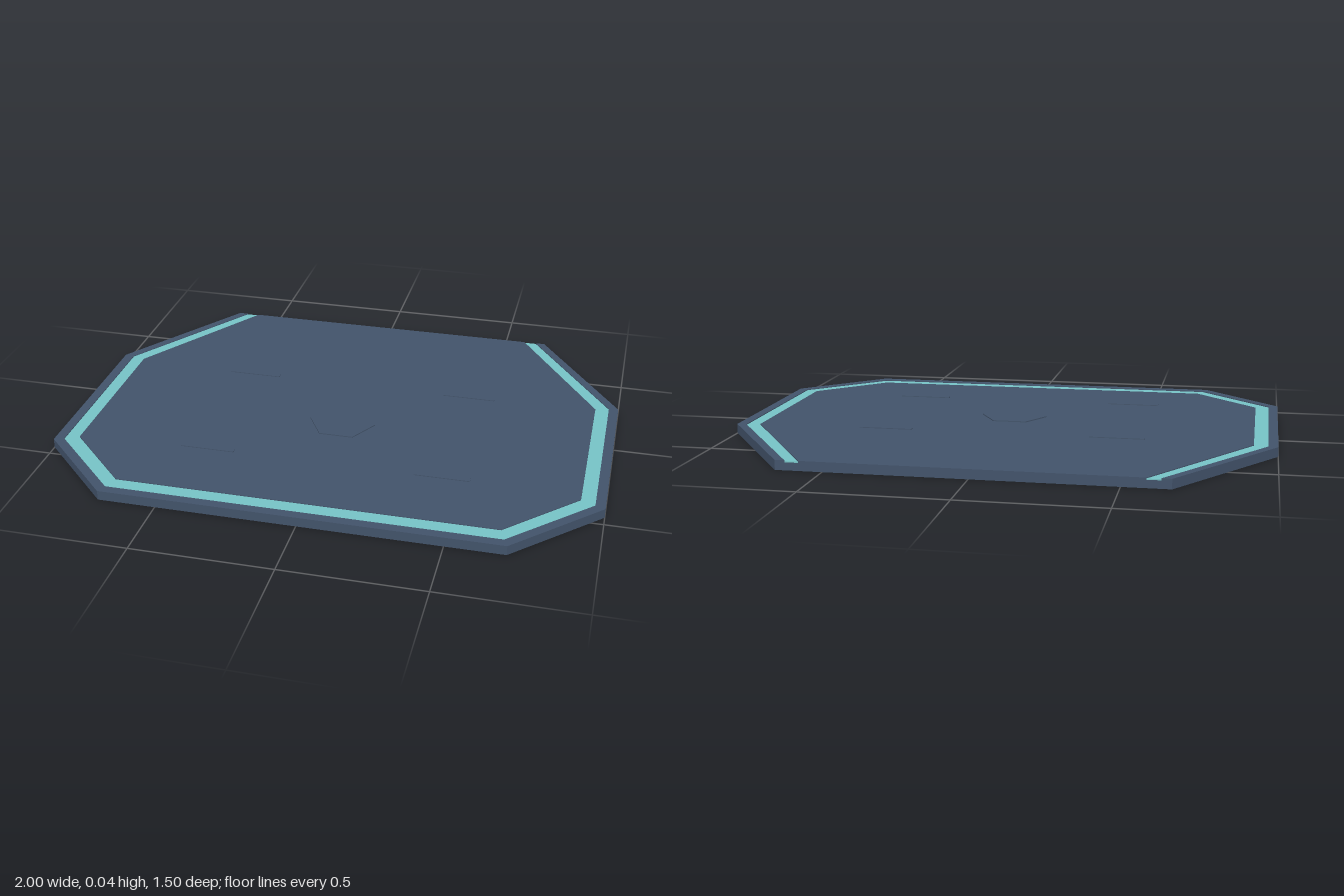
import * as THREE from 'three';

const TOP = 0.035;      // height of the deck surface
const GROOVE = 0.032;   // height of the inlaid strip

const mirror = (pts) => [...pts, ...pts.slice().reverse().map(([x, z]) => [-x, z])];

// +x half outlines (x, z), running from the back edge round to the front edge
const OUTER = [[0.665, -0.75], [1, -0.25], [1, 0.457], [0.707, 0.75]];
const STRIP_OUT = [[0.63, -0.75], [0.965, -0.247], [0.965, 0.443], [0.692, 0.715]];
const STRIP_IN = [[0.582, -0.75], [0.915, -0.232], [0.915, 0.417], [0.675, 0.66]];

// Flat plate with the given outline, between two heights
function plate(outline, y0, y1) {
  const shape = new THREE.Shape(outline.map(([x, z]) => new THREE.Vector2(x, -z)));
  const geo = new THREE.ExtrudeGeometry(shape, { depth: y1 - y0, bevelEnabled: false });
  return geo.rotateX(-Math.PI / 2).translate(0, y0, 0);
}

// U-shaped band between two half outlines, open at the back
function band(outer, inner) {
  const a = mirror(outer), b = mirror(inner).reverse();
  return [...a, ...b];
}

export function createModel() {
  const group = new THREE.Group();
  const slate = new THREE.MeshStandardMaterial({ color: 0x42536a });
  slate.name = 'slate blue';
  const teal = new THREE.MeshStandardMaterial({ color: 0x76c2c5 });
  teal.name = 'pale teal';

  const add = (name, geo, mat) => {
    const mesh = new THREE.Mesh(geo, mat);
    mesh.name = name;
    group.add(mesh);
    return mesh;
  };

  // Slab body, with the raised rim and centre deck leaving a shallow groove
  const floor = 0.028;
  add('baseSlab', plate(mirror(OUTER), 0, floor), slate);
  add('outerRim', plate(band(OUTER, STRIP_OUT), floor, TOP), slate);
  add('centreDeck', plate(mirror(STRIP_IN), floor, TOP), slate);

  // Inlaid strip following the rim
  add('inlaidStrip', plate(band(STRIP_OUT, STRIP_IN), floor, GROOVE), teal);

  // Low hexagonal boss in the middle
  const hex = new THREE.CylinderGeometry(0.125, 0.125, 0.008, 6).toNonIndexed();
  hex.computeVertexNormals();
  hex.rotateY(Math.PI / 6);
  add('hexBoss', hex, slate).position.set(0, TOP, 0.085);

  // Four thin deck bars
  for (const x of [-0.43, 0.43]) {
    for (const z of [-0.215, 0.385]) {
      add('deckBar', new THREE.BoxGeometry(0.2, 0.006, 0.02), slate).position.set(x, TOP, z);
    }
  }
  return group;
}
